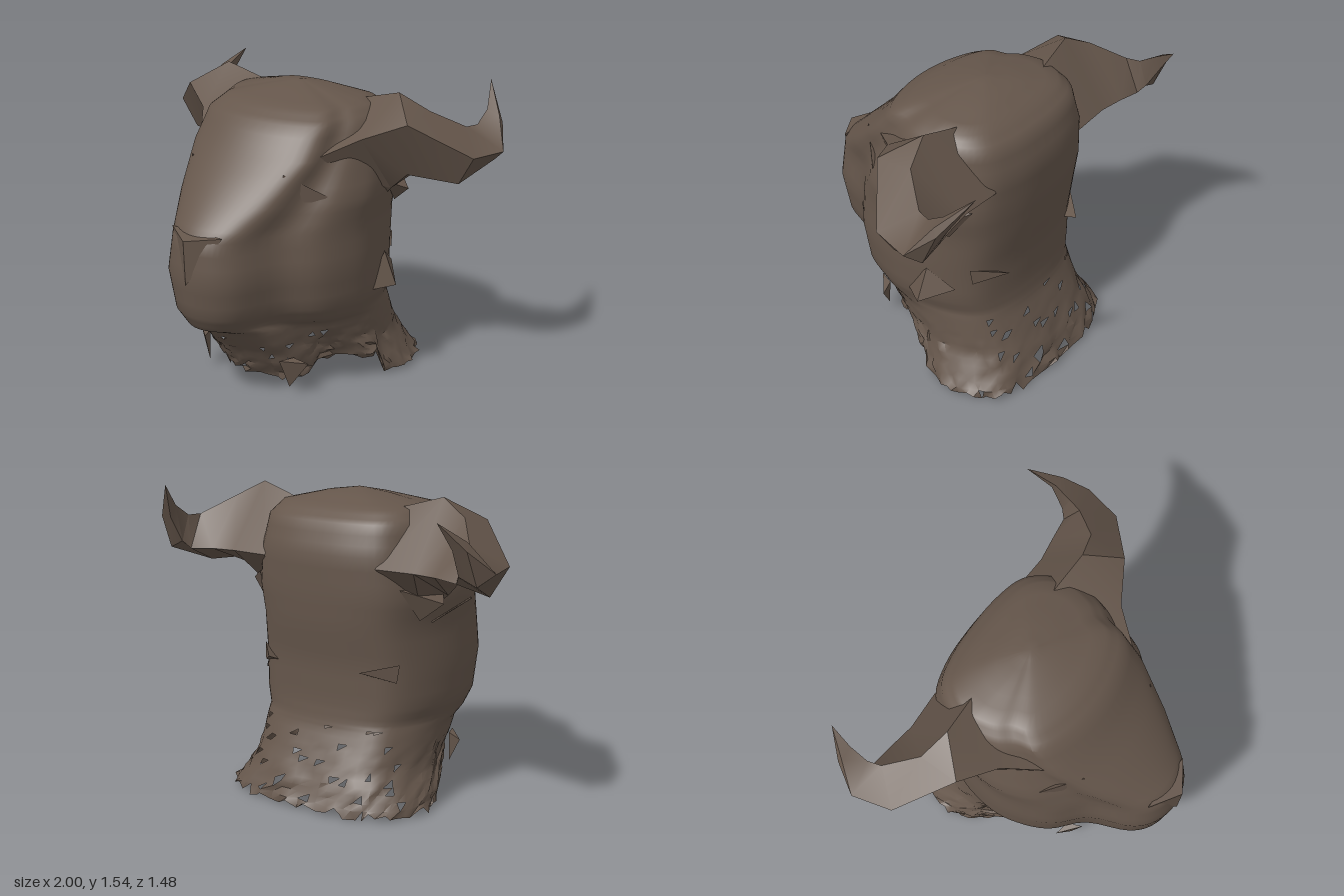
import * as THREE from 'three';
import { toCreasedNormals, mergeVertices } from 'three/addons/utils/BufferGeometryUtils.js';
import { ConvexGeometry } from 'three/addons/geometries/ConvexGeometry.js';

const V = (x, y, z) => new THREE.Vector3(x, y, z);
const lerp = THREE.MathUtils.lerp;

// Small seeded random generator
let seed = 7;
const rand = () => (seed = (seed * 16807) % 2147483647) / 2147483647;

// Joins closed rings of points into a skin; skip() leaves out torn faces
function loft(rows, crease, skip = () => false) {
  const n = rows[0].length, index = [];
  for (let i = 0; i < rows.length - 1; i++) {
    for (let j = 0; j < n; j++) {
      const k = (j + 1) % n;
      const a = i * n + j, b = i * n + k, c = a + n, d = b + n;
      if (!skip(rows[i][j])) index.push(a, b, d);
      if (!skip(rows[i][j])) index.push(a, d, c);
    }
  }
  const geo = new THREE.BufferGeometry().setFromPoints(rows.flat());
  geo.setIndex(index);
  return toCreasedNormals(mergeVertices(geo), crease);
}

// Head levels: height, front z, back z, muzzle half width, cheek half width, cheek z
const levels = [
  [0, 0.26, -0.71, 0.26, 0.56, -0.42],
  [0.2, 0.38, -0.62, 0.25, 0.48, -0.25],
  [0.38, 0.53, -0.54, 0.22, 0.48, -0.18],
  [0.42, 0.64, -0.53, 0.17, 0.49, -0.1],
  [0.5, 0.69, -0.52, 0.2, 0.52, -0.08],
  [0.7, 0.72, -0.52, 0.22, 0.53, -0.05],
  [0.9, 0.7, -0.55, 0.2, 0.52, -0.05],
  [1.05, 0.55, -0.56, 0.28, 0.54, -0.07],
  [1.25, 0.35, -0.56, 0.36, 0.5, -0.14],
  [1.4, 0.23, -0.51, 0.36, 0.46, -0.2],
  [1.46, 0.13, -0.43, 0.31, 0.4, -0.22],
  [1.51, -0.05, -0.3, 0.12, 0.18, -0.18],
  [1.535, -0.17, -0.17, 0, 0, -0.17],
];

// Smooth horizontal outline of the head at one level
function headRing([y, f, b, m, w, c], count) {
  const e = f - Math.min(0.11, (f - c) * 0.25);
  const half = [
    [m * 0.6, lerp(f, e, 0.3)], [m, e],
    [lerp(m, w, 0.3), lerp(e, c, 0.33)], [lerp(m, w, 0.73), lerp(e, c, 0.54)],
    [lerp(m, w, 0.94), lerp(e, c, 0.78)], [w, c],
    [w * 0.91, lerp(c, b, 0.5)], [w * 0.73, lerp(c, b, 0.82)], [w * 0.42, lerp(c, b, 0.96)],
  ];
  const pts = [V(0, y, f), ...half.map(([x, z]) => V(x, y, z)), V(0, y, b),
    ...half.slice().reverse().map(([x, z]) => V(-x, y, z))];
  const curve = new THREE.CatmullRomCurve3(pts, true);
  return Array.from({ length: count }, (_, i) => curve.getPoint(i / count));
}

function headGeometry() {
  const count = 80, rows = [];
  levels.forEach((level, i) => {
    const next = levels[i + 1];
    const steps = !next ? 1 : i < 2 ? 6 : 3;
    for (let s = 0; s < steps; s++) {
      rows.push(headRing(next ? level.map((v, k) => lerp(v, next[k], s / steps)) : level, count));
    }
  });
  // Ragged neck rim, higher at the sides
  rows.forEach((row, r) => row.forEach((p) => {
    if (p.y >= 0.36) return;
    const low = 1 - p.y / 0.36;
    const lift = p.z > -0.2 ? (p.z < 0.1 ? 0.12 : 0.05) : 0.015;
    p.x += (rand() - 0.5) * 0.03 * low;
    p.z += (rand() - 0.5) * 0.03 * low;
    p.y += lift * low + (r ? 0 : (rand() - 0.4) * 0.04);
    p.y = Math.max(p.y, 0);
  }));
  // Small tears in the front and back of the neck
  const torn = (p) => ((p.z < -0.45 && p.y < 0.4) || (p.z > 0.1 && p.y < 0.3)) && rand() < 0.04;
  return loft(rows, 0.75, torn);
}

// Horn sections in order: top, front, bottom, back
const hornSections = (tip) => [
  [V(0.26, 1.45, -0.28), V(0.32, 1.23, 0.25), V(0.45, 0.96, -0.28), V(0.34, 1.2, -0.51)],
  [V(0.55, 1.53, -0.25), V(0.51, 1.34, 0.01), V(0.55, 1.05, -0.2), V(0.55, 1.2, -0.5)],
  [V(0.7, 1.45, -0.3), V(0.7, 1.42, -0.1), V(0.63, 1.13, -0.22), V(0.68, 1.2, -0.52)],
  [V(0.82, 1.36, -0.45), V(0.95, 1.25, -0.31), V(0.86, 1.1, -0.33), V(0.81, 1.19, -0.54)],
  [V(0.84, 1.36, -0.52), V(1, 1.25, -0.51), V(0.93, 1.19, -0.56), V(0.84, 1.23, -0.57)],
  [V(0.84, 1.42, -0.61), V(0.91, 1.4, -0.61), V(0.92, 1.36, -0.63), V(0.85, 1.36, -0.64)],
  [tip, tip.clone(), tip.clone(), tip.clone()],
];

export function createModel() {
  const group = new THREE.Group();
  const hide = new THREE.MeshStandardMaterial({ color: 0x65564b, side: THREE.DoubleSide });
  hide.name = 'brown hide';
  const add = (name, geo) => {
    const mesh = new THREE.Mesh(geo, hide);
    mesh.name = name;
    group.add(mesh);
    return mesh;
  };
  const fold = (name, pts) => add(name, new ConvexGeometry(pts.map((p) => V(...p))));

  add('head', headGeometry());

  for (const side of [1, -1]) {
    const label = side > 0 ? 'left' : 'right';
    const tip = side > 0 ? V(0.78, 1.54, -0.74) : V(0.82, 1.49, -0.72);
    add(label + 'Horn', loft(hornSections(tip), 0.6)).scale.x = side;

    // Brow over the eye
    fold(label + 'Brow', [
      [side * 0.29, 1.2, 0.34], [side * 0.44, 1.08, 0.18],
      [side * 0.29, 0.91, 0.34], [side * 0.2, 1.05, 0.2],
    ]);
    // Small ear below the horn
    fold(label + 'Ear', [
      [side * 0.59, 1.03, -0.3], [side * 0.52, 1.08, -0.2],
      [side * 0.48, 0.94, -0.34], [side * 0.43, 1.1, -0.44],
    ]);
    // Loose fold at the back of the neck
    fold(label + 'NeckFold', [
      [side * 0.28, 0.7, -0.56], [side * 0.42, 0.73, -0.42],
      [side * 0.41, 0.64, -0.43], [side * 0.28, 0.66, -0.46],
    ]);
    // Torn flap under the jaw
    fold(label + 'JawFlap', [
      [side * 0.27, 0.04, 0.26], [side * 0.25, 0.2, 0.32],
      [side * 0.36, 0.18, 0.22], [side * 0.28, 0.2, 0.24],
    ]);
  }

  // Wedge-shaped nose
  fold('nose', [
    [-0.16, 0.93, 0.64], [0.16, 0.93, 0.64], [0, 0.91, 0.74], [0, 0.68, 0.73], [0, 0.8, 0.6],
  ]);
  // Cheek fold on the left side
  fold('cheekFold', [
    [0.585, 0.53, -0.22], [0.51, 0.7, -0.22], [0.5, 0.52, -0.08], [0.46, 0.6, -0.36],
  ]);
  // Thin strand between the right horn and the neck
  const strand = new THREE.LineCurve3(V(-0.79, 1.1, -0.38), V(-0.51, 0.93, -0.28));
  add('strand', new THREE.TubeGeometry(strand, 1, 0.005, 4));

  return group;
}
